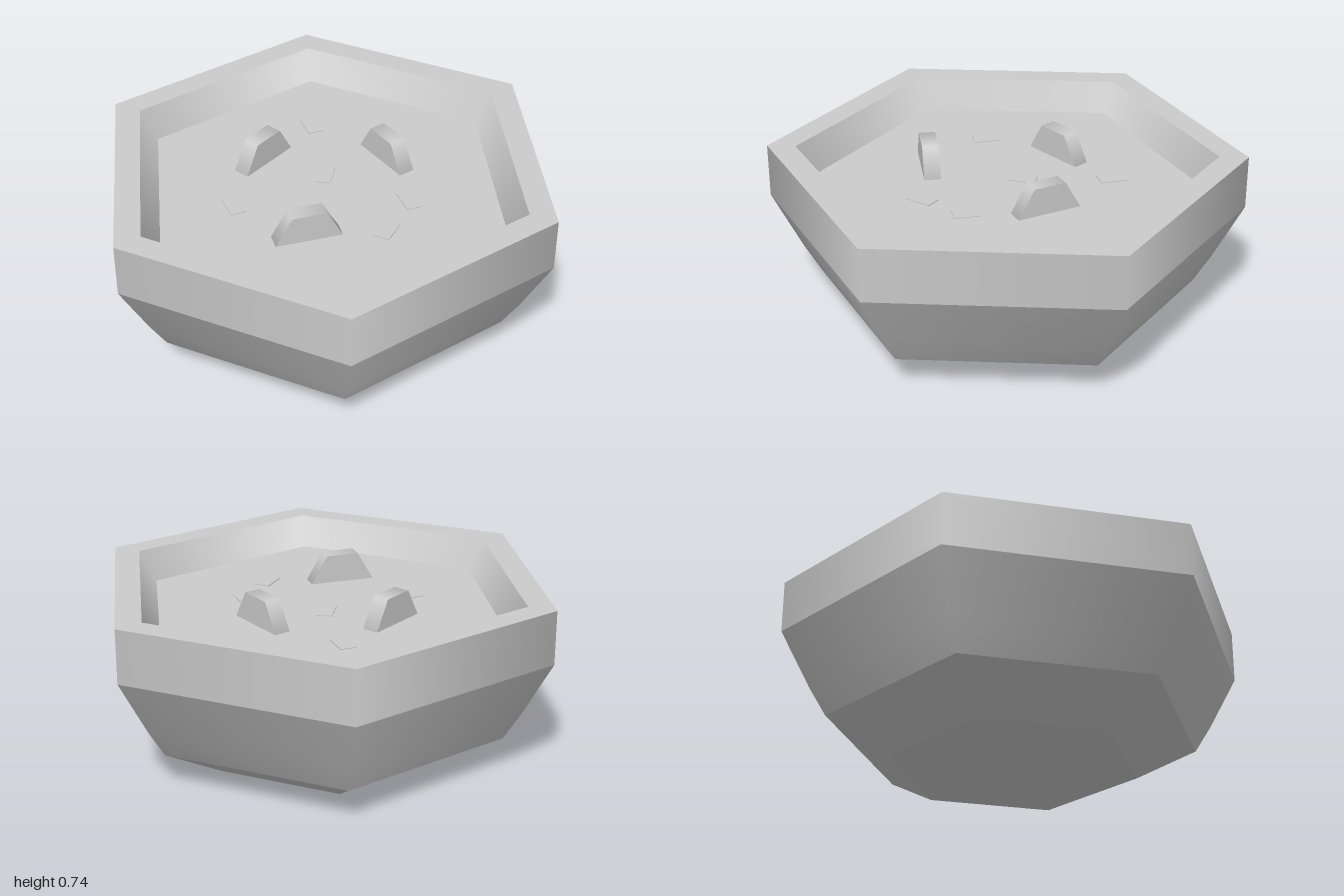
import * as THREE from 'three';

const SOIL_Y = 0.615;

export function createModel() {
  const model = new THREE.Group();
  const material = new THREE.MeshStandardMaterial({ color: 0xcccccc });

  const add = (name, geometry, x = 0, y = 0, z = 0, turn = 0) => {
    const mesh = new THREE.Mesh(geometry, material);
    mesh.name = name;
    mesh.position.set(x, y, z);
    mesh.rotation.y = turn;
    model.add(mesh);
  };

  // Six-sided ring surface: smooth around, with a hard edge to the next ring
  const band = (name, ...points) =>
    add(name, new THREE.LatheGeometry(points.map(([r, y]) => new THREE.Vector2(r, y)), 6));

  // Bowl, from the base up the outside and down into the recess
  band('base', [0, 0], [0.53, 0]);
  band('lowerSlope', [0.53, 0], [0.8, 0.15]);
  band('upperSlope', [0.8, 0.15], [0.873, 0.27], [1, 0.51]);
  band('outerWall', [1, 0.51], [1, 0.74]);
  band('rim', [1, 0.74], [0.88, 0.74]);
  band('innerWall', [0.88, 0.74], [0.8, SOIL_Y]);
  band('filling', [0.8, SOIL_Y], [0, SOIL_Y]);

  // Six-sided slices standing half sunk in the filling
  const slice = new THREE.CylinderGeometry(0.14, 0.14, 0.07, 6, 1, false, Math.PI / 2);
  slice.rotateX(Math.PI / 2);
  [
    [-0.015, -0.325, 0],
    [-0.307, 0.11, -1.31],
    [0.235, 0.26, 1.25],
  ].forEach(([x, z, turn]) => add('slice', slice, x, SOIL_Y, z, turn));

  // Small flat pieces lying almost flush with the filling
  const chip = new THREE.BoxGeometry(0.112, 0.03, 0.067);
  [
    [-0.393, -0.2, -0.23],
    [0.287, -0.215, -0.26],
    [-0.06, -0.035, -0.8],
    [0.392, -0.02, -1.07],
    [-0.098, 0.392, -0.23],
  ].forEach(([x, z, turn]) => add('chip', chip, x, SOIL_Y - 0.011, z, turn));

  return model;
}
